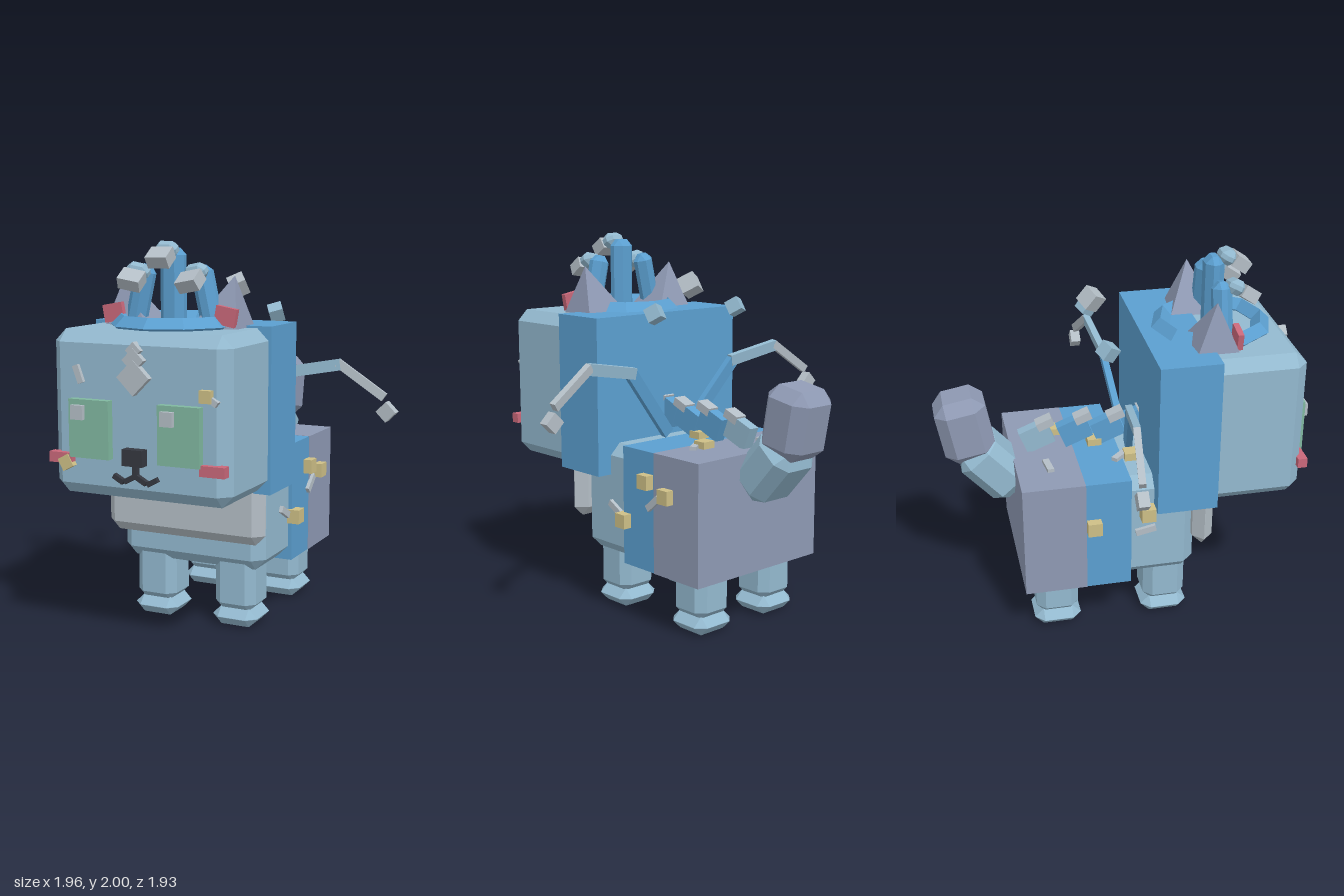
import * as THREE from 'three';
import { ConvexGeometry } from 'three/addons/geometries/ConvexGeometry.js';

const material = (name, color) => {
  const m = new THREE.MeshStandardMaterial({ color, flatShading: true });
  m.name = name;
  return m;
};

// Box with every edge cut flat
function chamferBox(w, h, d, c) {
  const pts = [];
  for (const sx of [-1, 1]) for (const sy of [-1, 1]) for (const sz of [-1, 1]) {
    const x = w / 2, y = h / 2, z = d / 2;
    pts.push(
      new THREE.Vector3(sx * x, sy * (y - c), sz * (z - c)),
      new THREE.Vector3(sx * (x - c), sy * y, sz * (z - c)),
      new THREE.Vector3(sx * (x - c), sy * (y - c), sz * z));
  }
  return new ConvexGeometry(pts);
}

export function createModel() {
  const root = new THREE.Group();
  root.name = 'blockCreature';
  const pale = material('paleBlue', 0x93b9cf);
  const blue = material('blue', 0x5b9fd0);
  const slate = material('slate', 0x8e99b3);
  const silver = material('silver', 0xb4bec6);
  const green = material('eyeGreen', 0x80b8a0);
  const red = material('rose', 0xc9687a);
  const gold = material('gold', 0xcdbf86);
  const dark = material('charcoal', 0x353840);

  const add = (name, geo, mat, pos, rot = [0, 0, 0]) => {
    const m = new THREE.Mesh(geo, mat);
    m.name = name;
    m.position.set(...pos);
    m.rotation.set(...rot);
    root.add(m);
    return m;
  };
  const box = (name, size, mat, pos, rot) => add(name, new THREE.BoxGeometry(...size), mat, pos, rot);
  const cut = (name, size, c, mat, pos, rot) => add(name, chamferBox(...size, c), mat, pos, rot);
  // Box stretched between two points
  const bar = (name, a, b, w, d, mat) => {
    const A = new THREE.Vector3(...a), B = new THREE.Vector3(...b);
    const dir = B.clone().sub(A);
    const m = box(name, [w, dir.length(), d], mat, A.clone().add(B).multiplyScalar(0.5).toArray());
    m.quaternion.setFromUnitVectors(new THREE.Vector3(0, 1, 0), dir.normalize());
  };

  // Head and body blocks
  cut('headFront', [0.96, 0.81, 0.6], 0.06, pale, [0, 1.18, 0.6]);
  box('headBack', [0.99, 0.835, 0.32], blue, [0, 1.178, 0.285]);
  cut('bib', [0.9, 0.42, 0.11], 0.054, silver, [0, 0.69, 0.395]);
  cut('chest', [0.82, 0.605, 0.5], 0.06, pale, [0, 0.622, 0.105]);
  box('bodyMiddle', [0.86, 0.635, 0.24], blue, [0, 0.622, -0.12]);
  box('bodyRear', [0.865, 0.637, 0.33], slate, [0, 0.622, -0.404]);

  // Legs and feet
  for (const s of [-1, 1]) for (const z of [0.21, -0.385]) {
    cut('leg', [0.23, 0.36, 0.23], 0.045, pale, [s * 0.232, 0.26, z]);
    cut('foot', [0.255, 0.1, 0.255], 0.049, pale, [s * 0.232, 0.05, z]);
  }

  // Tail
  cut('tailBase', [0.29, 0.36, 0.25], 0.06, pale, [0, 0.88, -0.67], [-0.72, 0, 0]);
  cut('tailTip', [0.28, 0.36, 0.27], 0.06, slate, [0, 1.13, -0.81], [-0.18, 0, 0]);

  // Ears
  for (const s of [-1, 1]) {
    const ear = new THREE.ConeGeometry(0.18, 0.28, 4).rotateY(Math.PI / 4);
    add('ear', ear, slate, [s * 0.277, 1.7, 0.455], [0, 0, -s * 0.2]);
    box('innerEar', [0.11, 0.09, 0.03], red, [s * 0.31, 1.647, 0.565], [0, 0, -s * 0.18]);
  }

  // Crown ring with three clawed fingers
  add('crownRing', new THREE.TorusGeometry(0.27, 0.05, 4, 10), blue, [0, 1.595, 0.51],
    [Math.PI / 2, 0, Math.PI / 2]);
  for (const s of [-1, 0, 1]) {
    const side = Math.abs(s), tilt = s * 0.22;
    cut('crownFinger', [0.13 - side * 0.02, 0.4 - side * 0.06, 0.1], 0.035, blue,
      [s * 0.187, 1.77 - side * 0.05, 0.515], [0, 0, tilt]);
    cut('crownKnuckle', [0.12, 0.08, 0.09], 0.028, pale,
      [s * 0.16, 1.96 - side * 0.105, 0.585], [0.5, 0, tilt]);
    box('crownClaw', [0.115, 0.065, 0.09], silver,
      [s * 0.16, 1.925 - side * 0.11, 0.65], [0.6, 0, tilt]);
  }

  // Eyes, cheeks, nose and mouth
  for (const s of [-1, 1]) {
    box('eye', [0.22, 0.285, 0.045], green, [s * 0.242, 1.115, 0.918]);
    box('eyeGlint', [0.066, 0.07, 0.03], silver, [s * 0.242 - 0.052, 1.196, 0.95]);
    box('cheek', [0.13, 0.052, 0.05], red, [s * 0.41, 0.962, 0.905]);
    box('mouthInner', [0.07, 0.025, 0.03], dark, [s * 0.028, 0.888, 0.91], [0, 0, -s * 0.5]);
    box('mouthOuter', [0.06, 0.025, 0.03], dark, [s * 0.092, 0.882, 0.91], [0, 0, s * 0.5]);
  }
  box('nose', [0.11, 0.08, 0.06], dark, [0, 0.995, 0.92]);
  box('mouthStem', [0.025, 0.07, 0.03], dark, [0, 0.93, 0.91]);

  // Forehead mark and face chips
  for (const [size, y, z] of [[0.122, 1.375, 0.915], [0.082, 1.457, 0.912], [0.058, 1.503, 0.909]])
    box('foreheadMark', [size, size, 0.04], silver, [0, y, z], [0, 0, Math.PI / 4]);
  box('faceChip', [0.032, 0.09, 0.03], silver, [-0.31, 1.375, 0.905], [0, 0, 0.35]);
  box('faceChip', [0.07, 0.03, 0.03], silver, [0.4, 1.292, 0.905], [0, 0, -0.6]);
  box('faceNugget', [0.06, 0.06, 0.04], gold, [0.375, 1.308, 0.912]);
  box('faceNugget', [0.065, 0.065, 0.04], gold, [-0.38, 0.94, 0.915], [0, 0, 0.5]);

  // Gold nuggets and silver chips over the body
  const nuggets = [[0.44, 0.787, -0.197], [0.44, 0.737, -0.35], [0.44, 0.547, -0.02],
    [-0.44, 0.69, -0.2], [-0.44, 0.74, 0.085], [0.155, 0.94, -0.32], [-0.17, 0.93, 0.05], [0, 0.94, -0.12]];
  for (const p of nuggets) box('nugget', [0.075, 0.075, 0.075], gold, p);
  const sideChips = [[0.415, 0.585, 0.075, 0.5], [0.435, 0.68, -0.245, -0.7], [-0.415, 0.62, 0.08, 0.2]];
  for (const [x, y, z, r] of sideChips)
    box('sideChip', [0.03, 0.035, 0.11], silver, [x, y, z], [-r, 0, 0]);
  for (const [x, y, z, r] of [[-0.21, 0.945, -0.4, 0.12], [0.2, 0.945, -0.3, 0.6], [-0.18, 0.945, -0.01, -0.8]])
    box('backChip', [0.11, 0.03, 0.035], silver, [x, y, z], [0, r, 0]);

  // Spine plates with silver caps
  [[-0.43, 1.02, pale], [-0.225, 1.035, blue], [-0.045, 1.03, blue], [0.12, 1.06, blue]].forEach(([z, y, mat]) => {
    box('spinePlate', [0.06, 0.13, 0.16], mat, [0, y, z], [-0.38, 0, 0]);
    box('spineCap', [0.07, 0.045, 0.09], silver, [0, y + 0.075, z + 0.045], [-0.38, 0, 0]);
  });

  // Jointed arms rising from the back
  for (const s of [-1, 1]) {
    bar('armBase', [s * 0.07, 0.95, 0.055], [s * 0.38, 1.32, 0], 0.065, 0.035, blue);
    bar('armMiddle', [s * 0.35, 1.31, 0], [s * 0.68, 1.37, -0.03], 0.06, 0.035, pale);
    bar('armEnd', [s * 0.665, 1.378, -0.03], [s * 0.91, 1.21, -0.055], 0.045, 0.035, silver);
    box('armTip', [0.075, 0.075, 0.055], silver, [s * 0.925, 1.137, -0.058], [0, 0, Math.PI / 4]);
    // Floating cubes
    box('floatingCube', [0.075, 0.075, 0.075], pale, [s * 0.29, 1.62, -0.095], [0.6, 0.5, 0]);
  }
  box('floatingCubeTop', [0.09, 0.09, 0.09], silver, [0.06, 1.757, -0.113], [0.6, 0.6, 0.1]);

  return root;
}
